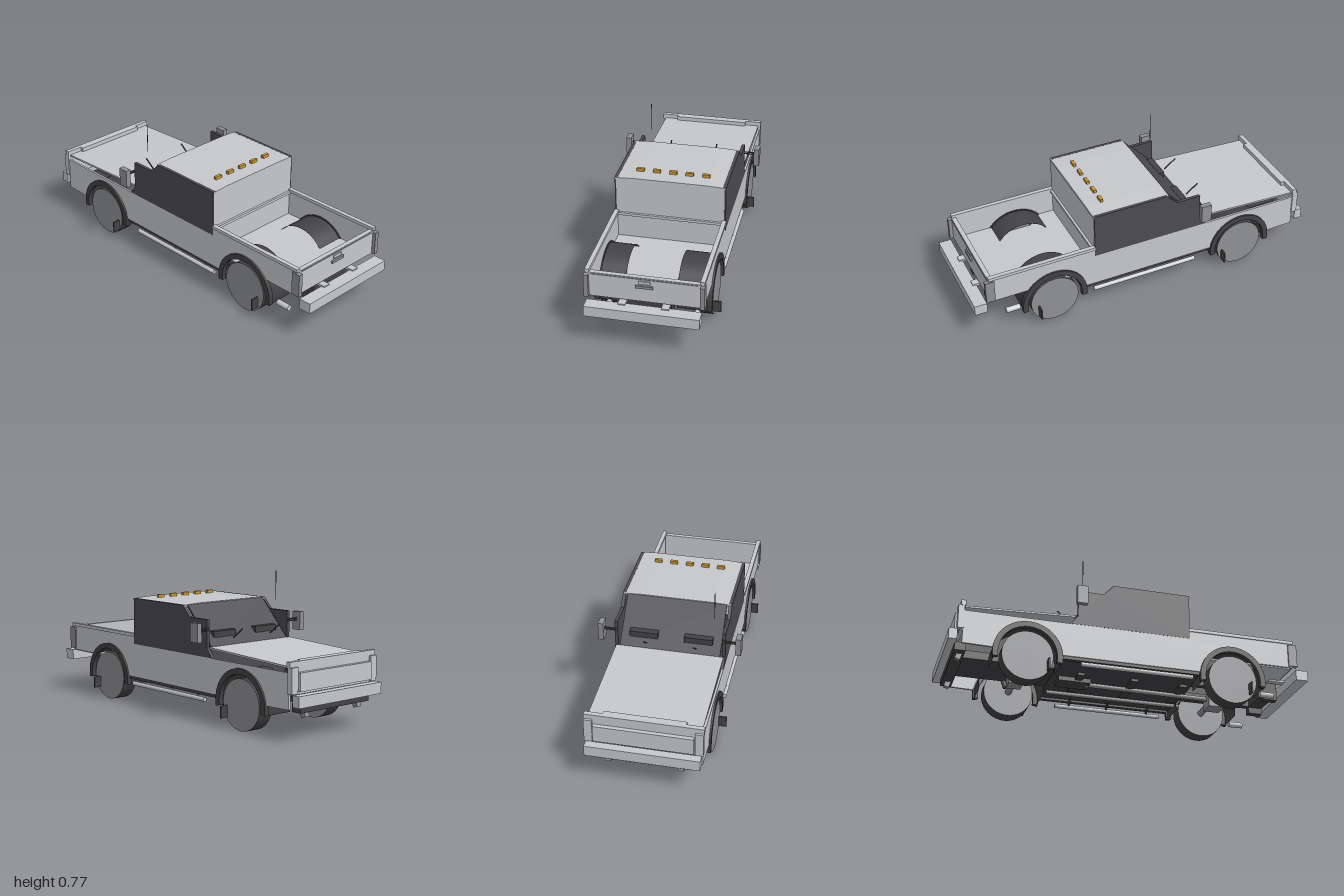
import * as THREE from 'three';

const mat = (name, color, side = THREE.FrontSide) => {
  const m = new THREE.MeshStandardMaterial({ color, side });
  m.name = name;
  return m;
};

export function createModel() {
  const truck = new THREE.Group();
  truck.name = 'pickupTruck';
  const paint = mat('lightGreyPaint', 0xc6c8cb);
  const trim = mat('midGreyTrim', 0x8f9093);
  const dark = mat('darkGlass', 0x4c4c50, THREE.DoubleSide);
  const rubber = mat('rubber', 0x434346, THREE.DoubleSide);
  const amber = mat('amberLamp', 0xcb9a3a);

  const add = (name, geo, material) => {
    const m = new THREE.Mesh(geo, material);
    m.name = name;
    truck.add(m);
    return m;
  };
  // box from its extents on each axis
  const box = (name, material, [x0, x1], [y0, y1], [z0, z1]) => {
    const m = add(name, new THREE.BoxGeometry(x1 - x0, y1 - y0, z1 - z0), material);
    m.position.set((x0 + x1) / 2, (y0 + y1) / 2, (z0 + z1) / 2);
    return m;
  };
  const pair = (name, material, [x0, x1], y, z) => {
    box(name + 'Left', material, [x0, x1], y, z);
    box(name + 'Right', material, [-x1, -x0], y, z);
  };
  // round bar between two points
  const rod = (name, material, a, b, r, sides = 16) => {
    const p = new THREE.Vector3(...a), q = new THREE.Vector3(...b), d = q.clone().sub(p);
    const m = add(name, new THREE.CylinderGeometry(r, r, d.length(), sides), material);
    m.position.copy(p).add(q).multiplyScalar(0.5);
    m.quaternion.setFromUnitVectors(new THREE.Vector3(0, 1, 0), d.normalize());
    return m;
  };
  // side profile drawn in (-z, y), given thickness along x
  const profile = (name, material, shape, x0, x1) => {
    const g = new THREE.ExtrudeGeometry(shape, { depth: x1 - x0, bevelEnabled: false, curveSegments: 24 });
    g.rotateY(Math.PI / 2).translate(x0, 0, 0);
    return add(name, g, material);
  };
  const poly = (pts) => new THREE.Shape(pts.map(([z, y]) => new THREE.Vector2(-z, y)));

  const AXLES = { rear: 0.55, front: -0.585 };
  const arcY = 0.14, cutR = 0.16;
  const arcAngle = (y) => Math.asin((y - arcY) / cutR);

  // lower body flank with both wheel openings cut away
  const flank = new THREE.Shape();
  flank.moveTo(-0.91, 0.41);
  flank.lineTo(-0.91, 0.25);
  const aRear = arcAngle(0.25), aLow = arcAngle(0.16);
  flank.absarc(-AXLES.rear, arcY, cutR, Math.PI - aRear, aLow, true);
  flank.absarc(-AXLES.front, arcY, cutR, Math.PI - aLow, aLow, true);
  flank.lineTo(0.93, 0.165);
  flank.lineTo(0.93, 0.35);
  flank.lineTo(-0.31, 0.35);
  flank.lineTo(-0.31, 0.41);

  // cab window side
  const cabSide = poly([[0.31, 0.35], [-0.36, 0.35], [-0.32, 0.40], [-0.32, 0.55],
    [-0.18, 0.55], [-0.12, 0.61], [0.31, 0.61]]);

  // flared lip over a wheel
  const lip = (z) => {
    const s = new THREE.Shape();
    s.absarc(-z, arcY, 0.187, -0.17, Math.PI + 0.17, false);
    s.absarc(-z, arcY, 0.157, Math.PI + 0.17, -0.17, true);
    return s;
  };

  for (const s of [1, -1]) {
    const side = s > 0 ? 'Left' : 'Right';
    const slab = (name, m, shape, a, b) =>
      profile(name + side, m, shape, s > 0 ? a : -b, s > 0 ? b : -a);
    slab('bodyFlank', paint, flank, 0.29, 0.302);
    slab('cabSide', dark, cabSide, 0.285, 0.303);
    for (const [end, z] of Object.entries(AXLES)) {
      slab(end + 'ArchLip', rubber, lip(z), 0.285, 0.312);
      // inner wheel well, an open half shell
      const inner = s > 0 ? 0.125 : 0.15;
      const shell = new THREE.CylinderGeometry(0.18, 0.18, 0.29 - inner, 32, 1, true, -0.19, Math.PI + 0.38);
      shell.rotateZ(Math.PI / 2).rotateX(0);
      // keep the open side facing down
      shell.computeBoundingBox();
      const c = shell.boundingBox;
      if (c.max.z - c.min.z < c.max.y - c.min.y) shell.rotateX(c.max.z > -c.min.z ? -Math.PI / 2 : Math.PI / 2);
      shell.computeBoundingBox();
      if (shell.boundingBox.max.y < 0.15) shell.rotateX(Math.PI);
      add(end + 'WheelWell' + side, shell, rubber).position.set(s * (0.29 + inner) / 2, arcY, z);
      // tyre with plain discs on its faces
      const tyre = new THREE.CylinderGeometry(0.137, 0.137, 0.087, 40).rotateZ(Math.PI / 2);
      add(end + 'Wheel' + side, tyre, [rubber, trim, trim]).position.set(s * 0.2585, 0.137, z);
    }
    // mirror on a pair of arms
    for (const y of [0.494, 0.504])
      rod('mirrorArm' + side, rubber, [s * 0.29, y, -0.32], [s * 0.37, y, -0.32], 0.004, 8);
    // side step and brackets
    rod('sideStep' + side, paint, [s * 0.3, 0.122, 0.32], [s * 0.3, 0.122, -0.3], 0.012);
    for (const z of [-0.22, 0, 0.24])
      rod('stepBracket' + side, rubber, [s * 0.3, 0.125, z], [s * 0.24, 0.165, z], 0.007, 8);
    // tailpipe
    rod('tailpipe' + side, paint, [s * 0.235, 0.097, 0.81], [s * 0.235, 0.097, 0.73], 0.016);
    // shock absorbers
    rod('shock' + side, rubber, [s * 0.11, 0.12, 0.6], [s * 0.13, 0.2, 0.66], 0.013, 10);
    rod('frontShock' + side, rubber, [s * 0.12, 0.12, -0.62], [s * 0.14, 0.25, -0.66], 0.013, 10);
    // tow hook
    box('towHook' + side, trim, [s * 0.19 - 0.015, s * 0.19 + 0.015], [0.115, 0.15], [-0.945, -0.915]).rotation.x = 0.3;
  }
  pair('mirror', trim, [0.36, 0.39], [0.437, 0.54], [-0.345, -0.287]);
  pair('rearFlap', rubber, [0.298, 0.345], [0.056, 0.12], [0.64, 0.648]);
  pair('frontFlap', rubber, [0.298, 0.345], [0.056, 0.12], [-0.481, -0.473]);

  // cab shell: rear wall, gently crowned roof, sloping windshield
  box('cabRearWall', paint, [-0.295, 0.295], [0.25, 0.608], [0.3, 0.312]);
  const roof = new THREE.Shape();
  roof.moveTo(-0.3, 0.6);
  roof.lineTo(0.3, 0.6);
  roof.lineTo(0.3, 0.609);
  roof.lineTo(0.2, 0.614);
  roof.lineTo(-0.2, 0.614);
  roof.lineTo(-0.3, 0.609);
  add('roof', new THREE.ExtrudeGeometry(roof, { depth: 0.445, bevelEnabled: false }), paint).position.z = -0.13;
  profile('windshield', dark, poly([[-0.13, 0.61], [-0.118, 0.605], [-0.318, 0.395], [-0.335, 0.395]]), -0.275, 0.275);
  box('firewall', dark, [-0.288, 0.288], [0.16, 0.395], [-0.33, -0.318]);
  pair('windshieldBox', rubber, [0.072, 0.228], [0.445, 0.478], [-0.292, -0.256]);
  for (const x of [-0.145, 0.125])
    rod('wiper', rubber, [x, 0.44, -0.33], [x, 0.494, -0.4], 0.004, 8);
  rod('antenna', rubber, [-0.235, 0.612, -0.28], [-0.235, 0.775, -0.28], 0.002, 8);
  for (let i = -2; i <= 2; i++)
    box('roofLamp', amber, [i * 0.09 - 0.021, i * 0.09 + 0.021], [0.612, 0.631], [0.213, 0.23]);

  // hood panel and nose
  profile('hood', paint, poly([[-0.33, 0.405], [-0.33, 0.395], [-0.92, 0.37], [-0.92, 0.38]]), -0.295, 0.295);
  box('hoodLip', paint, [-0.215, 0.215], [0.376, 0.405], [-0.93, -0.9]);
  box('airBox', paint, [-0.1, 0.1], [0.35, 0.37], [-0.81, -0.69]);
  box('noseBar', paint, [-0.31, 0.31], [0.375, 0.405], [-0.945, -0.92]);
  box('nosePanel', paint, [-0.295, 0.295], [0.24, 0.378], [-0.945, -0.925]);
  box('grille', paint, [-0.26, 0.26], [0.255, 0.35], [-0.967, -0.945]);
  pair('headlamp', paint, [0.265, 0.308], [0.245, 0.378], [-0.958, -0.925]);
  box('frontBumper', paint, [-0.3, 0.3], [0.182, 0.242], [-1, -0.955]);
  box('frontValance', rubber, [-0.25, 0.25], [0.145, 0.19], [-0.96, -0.9]);

  // cargo bed, tailgate and rear bumper
  box('bedFloor', paint, [-0.292, 0.292], [0.243, 0.252], [0.31, 0.9]);
  pair('bedRail', paint, [0.284, 0.308], [0.392, 0.41], [0.31, 0.915]);
  box('bedFrontRail', paint, [-0.29, 0.29], [0.385, 0.4], [0.31, 0.325]);
  box('tailgate', paint, [-0.287, 0.287], [0.255, 0.394], [0.89, 0.915]);
  box('tailgateCrease', trim, [-0.275, 0.275], [0.383, 0.388], [0.913, 0.918]);
  box('tailgateHandle', trim, [-0.045, 0.045], [0.336, 0.351], [0.91, 0.925]);
  box('tailgateLatch', paint, [-0.031, 0.031], [0.36, 0.376], [0.91, 0.921]);
  pair('tailLamp', trim, [0.286, 0.31], [0.257, 0.385], [0.885, 0.935]);
  box('rearBumper', paint, [-0.297, 0.297], [0.184, 0.242], [0.93, 1]);
  pair('bumperBracket', paint, [0.092, 0.132], [0.234, 0.248], [0.84, 0.95]);
  box('rearCrossmember', rubber, [-0.095, 0.095], [0.155, 0.24], [0.8, 0.88]);
  pair('rearFrameBox', rubber, [0.09, 0.13], [0.12, 0.22], [0.8, 0.88]);

  // underside: floor pan, frame, axles and driveline
  box('floorPan', rubber, [-0.288, 0.288], [0.155, 0.168], [-0.4, 0.38]);
  box('engineTray', rubber, [-0.125, 0.125], [0.16, 0.172], [-0.92, -0.4]);
  pair('frameRail', rubber, [0.09, 0.125], [0.16, 0.205], [-0.92, 0.84]);
  pair('rockerStrip', rubber, [0.27, 0.296], [0.143, 0.16], [-0.4, 0.36]);
  for (const z of [-0.25, 0.05, 0.33])
    box('crossmember', rubber, [-0.12, 0.12], [0.14, 0.165], [z - 0.02, z + 0.02]);
  for (const z of Object.values(AXLES))
    rod('axle', trim, [-0.23, 0.137, z], [0.23, 0.137, z], 0.018);
  box('rearDifferential', trim, [-0.045, 0.045], [0.08, 0.155], [0.505, 0.595]);
  box('frontDifferential', trim, [-0.01, 0.075], [0.1, 0.165], [-0.625, -0.545]);
  rod('driveshaft', trim, [0, 0.135, 0.52], [0, 0.14, -0.2], 0.013);
  box('gearbox', rubber, [-0.05, 0.05], [0.13, 0.165], [-0.36, -0.18]);
  rod('exhaustPipe', trim, [0.17, 0.145, 0.4], [0.17, 0.145, -0.38], 0.011);
  return truck;
}
